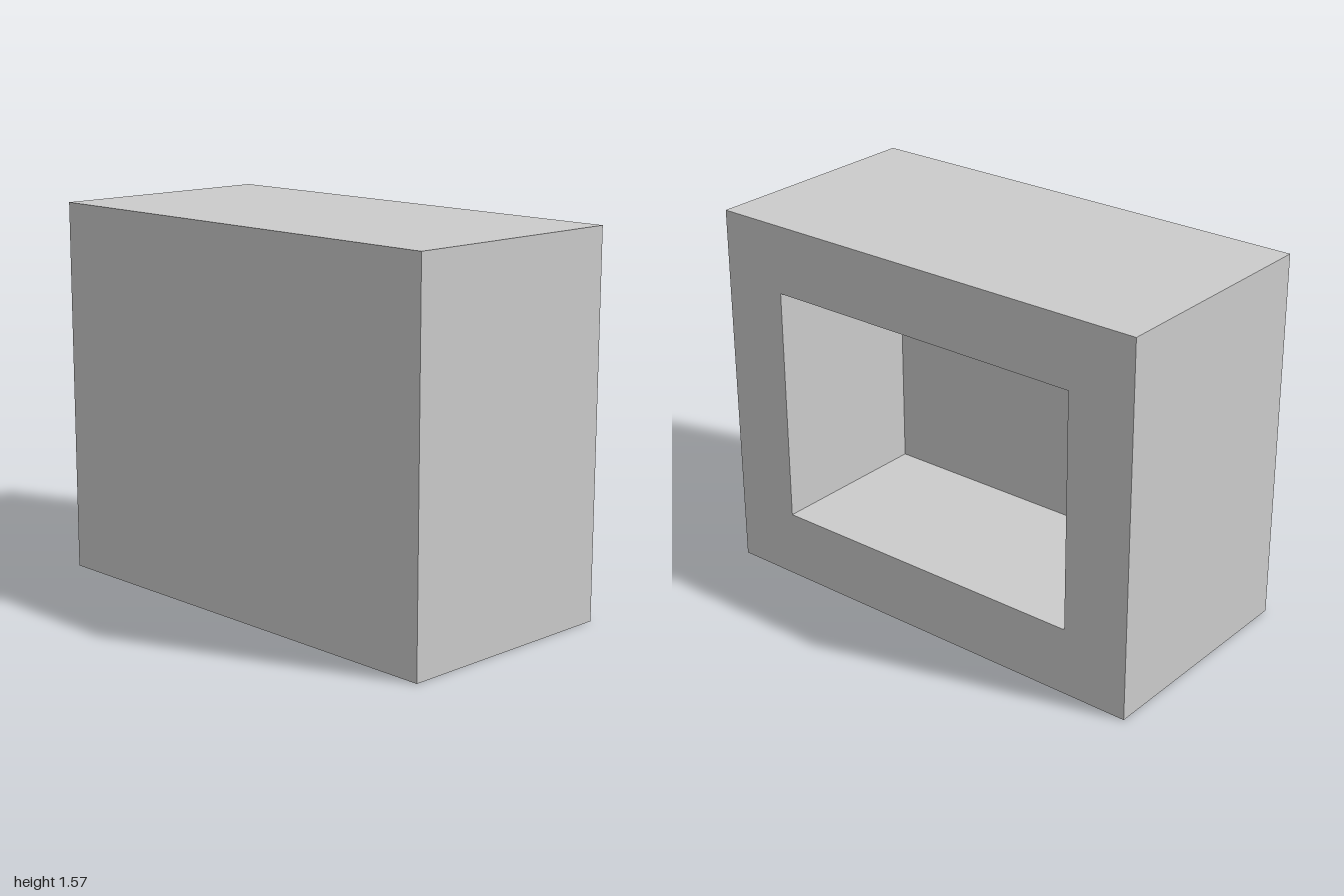
import * as THREE from 'three';

const U = 1 / 7; // modular unit: the block is 14 x 11 x 7 units
const W = 14 * U, H = 11 * U, D = 7 * U, WALL = 2 * U;

// Rectangle outline from its lower left corner
function rect(path, x, y, w, h) {
  path.moveTo(x, y);
  path.lineTo(x + w, y);
  path.lineTo(x + w, y + h);
  path.lineTo(x, y + h);
  path.closePath();
  return path;
}

export function createModel() {
  const group = new THREE.Group();
  group.name = 'hollowBlock';
  const grey = new THREE.MeshStandardMaterial({ color: 0xcccccc });
  grey.name = 'lightGrey';

  // Outer shell: solid front, four sides, and a back frame around the recess
  const box = new THREE.BoxGeometry(W, H, D);
  box.translate(0, H / 2, 0);
  // Keep every side but the back, which is the last of the six faces
  box.setIndex(Array.from(box.index.array).slice(0, 30));
  box.clearGroups();
  const shell = new THREE.Mesh(box, grey);
  shell.name = 'outerShell';
  group.add(shell);

  // Back frame with its opening, turned to face -z
  const frameShape = rect(new THREE.Shape(), -W / 2, 0, W, H);
  frameShape.holes.push(rect(new THREE.Path(), -W / 2 + WALL, WALL, W - 2 * WALL, H - 2 * WALL));
  const frame = new THREE.Mesh(new THREE.ShapeGeometry(frameShape), grey);
  frame.name = 'backFrame';
  frame.rotation.y = Math.PI;
  frame.position.z = -D / 2;
  group.add(frame);

  // Recess: an inward-facing box, open at the back
  const inner = new THREE.BoxGeometry(W - 2 * WALL, H - 2 * WALL, D - WALL);
  inner.setIndex(Array.from(inner.index.array).slice(0, 30).reverse());
  inner.clearGroups();
  const normals = inner.attributes.normal;
  for (let i = 0; i < normals.count; i++) {
    normals.setXYZ(i, -normals.getX(i), -normals.getY(i), -normals.getZ(i));
  }
  const recess = new THREE.Mesh(inner, grey);
  recess.name = 'recess';
  recess.position.set(0, H / 2, -WALL / 2);
  group.add(recess);

  return group;
}
